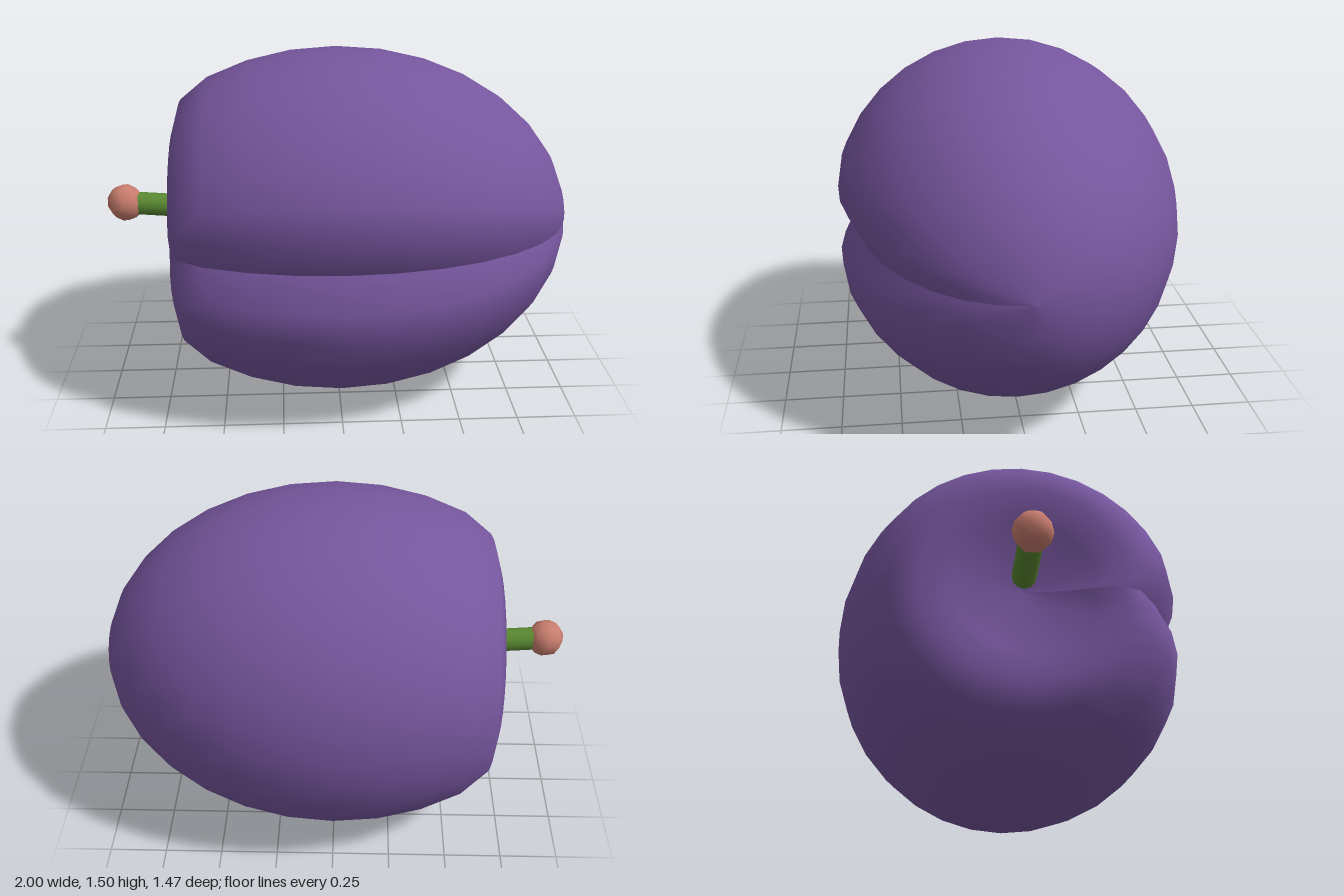
import * as THREE from 'three';

const CENTRE = new THREE.Vector3(0, 0.75, 0.017);

function makeFruit() {
  // Sphere turned so its axis lies along x and its seam runs along the groove at +z
  const geo = new THREE.SphereGeometry(1, 32, 16);
  geo.rotateZ(-Math.PI / 2).rotateX(Math.PI / 2);
  const pos = geo.attributes.position;
  // x of the rings that form the hollow at the stem end, from its rim to the middle
  const hollow = [-0.67, -0.702, -0.665, -0.63, -0.615];
  for (let i = 0; i < pos.count; i++) {
    let x = pos.getX(i);
    const y = pos.getY(i), z = pos.getZ(i);
    const ring = Math.round(Math.acos(THREE.MathUtils.clamp(x, -1, 1)) / Math.PI * 16);
    if (ring >= 12) x = hollow[ring - 12];
    // Groove: pull the front meridian inwards
    const radius = Math.hypot(y, z);
    const angle = radius > 1e-4 ? Math.atan2(y, z) : Math.PI;
    const s = 0.75 * (1 - 0.143 * Math.exp(-((angle / 0.15) ** 2)));
    pos.setXYZ(i, x, y * s, z * s);
  }
  // The split seam keeps the bottom of the groove sharp
  geo.computeVertexNormals();
  const fruit = new THREE.Mesh(geo, new THREE.MeshStandardMaterial({ color: 0x76569e }));
  fruit.name = 'fruit';
  fruit.position.copy(CENTRE);
  return fruit;
}

function makeStem() {
  const stem = new THREE.Group();
  stem.name = 'stem';
  const base = new THREE.Vector3(-0.54, 0.807, CENTRE.z);
  const end = new THREE.Vector3(-0.922, 0.837, CENTRE.z);
  const along = end.clone().sub(base);

  const stalk = new THREE.Mesh(
    new THREE.CylinderGeometry(0.05, 0.05, along.length(), 12),
    new THREE.MeshStandardMaterial({ color: 0x5a8a32 })
  );
  stalk.name = 'stalk';
  stalk.position.copy(base).add(end).multiplyScalar(0.5);
  stalk.quaternion.setFromUnitVectors(new THREE.Vector3(0, 1, 0), along.normalize());

  // Low-poly knob at the end of the stalk
  const knob = new THREE.Mesh(
    new THREE.SphereGeometry(0.08, 8, 6),
    new THREE.MeshStandardMaterial({ color: 0xc87d6e })
  );
  knob.name = 'stemKnob';
  knob.position.copy(end);
  knob.rotation.z = 0.25;
  stem.add(stalk, knob);
  return stem;
}

export function createModel() {
  const model = new THREE.Group();
  model.name = 'plum';
  model.add(makeFruit(), makeStem());
  return model;
}
